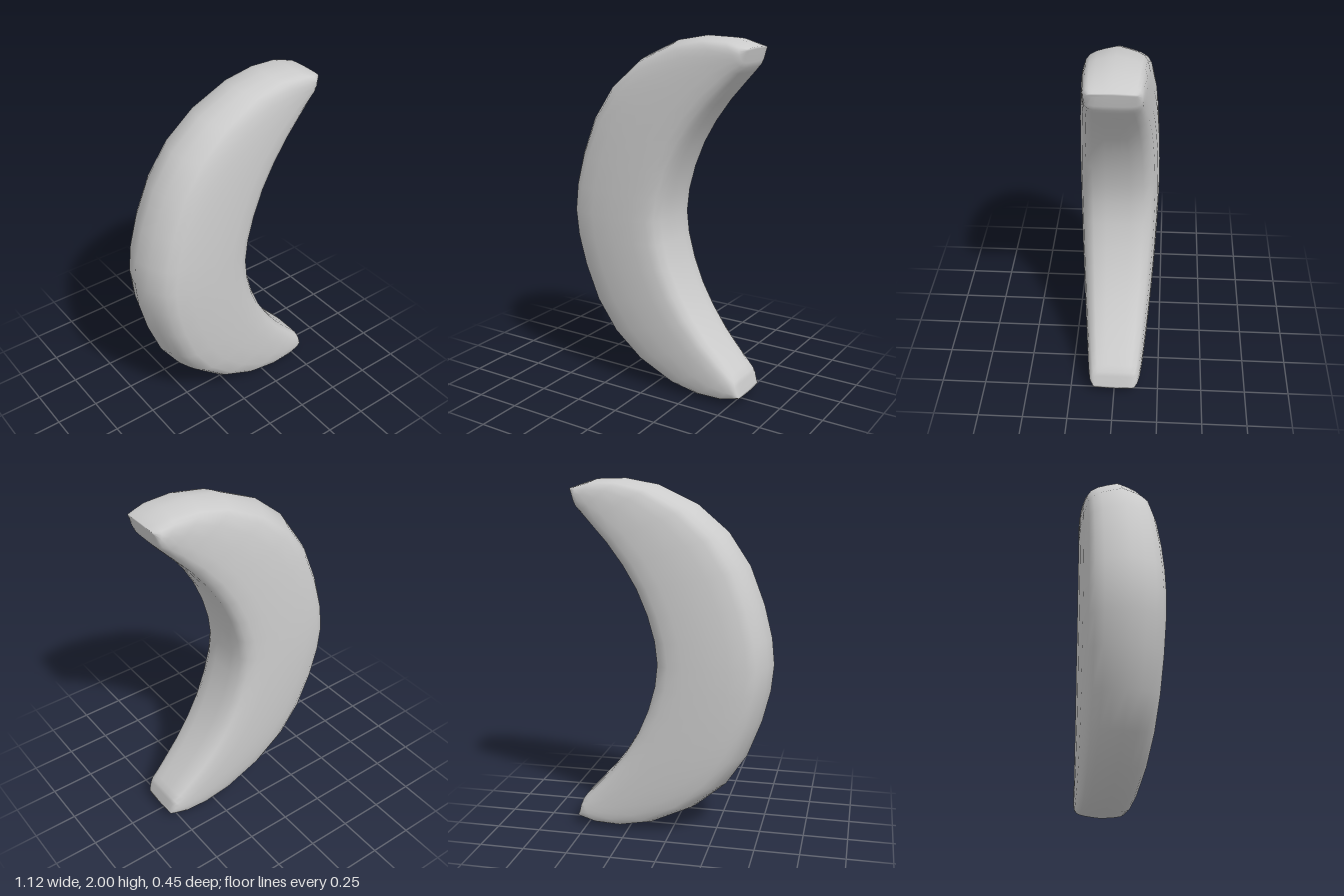
import * as THREE from 'three';

// Half of the crescent, middle to upper tip: outer x, y, inner x, y, half thickness
const STATIONS = [
  [-0.56, 1.0, 0.075, 1.0, 0.225],
  [-0.545, 1.15, 0.09, 1.13, 0.223],
  [-0.5, 1.33, 0.13, 1.27, 0.218],
  [-0.42, 1.54, 0.19, 1.41, 0.209],
  [-0.3, 1.72, 0.265, 1.535, 0.198],
  [-0.13, 1.865, 0.355, 1.655, 0.184],
  [0.09, 1.968, 0.45, 1.76, 0.168],
  [0.27, 2.0, 0.505, 1.82, 0.157],
  [0.43, 1.995, 0.53, 1.85, 0.147],
  [0.51, 1.97, 0.538, 1.875, 0.138],
  [0.555, 1.952, 0.55, 1.93, 0.118],
];

// Section from the outer edge to the inner edge: position across, share of half thickness
const SECTION = [
  [0, 0], [0.04, 0.36], [0.075, 0.6], [0.126, 0.8], [0.2, 0.91], [0.35, 0.985],
  [0.55, 1], [0.75, 0.97], [0.88, 0.9], [0.95, 0.8], [0.99, 0.62], [1, 0.3], [1, 0],
];

function crescentGeometry() {
  const upper = STATIONS;
  const lower = STATIONS.slice(1).reverse().map(([ox, oy, ix, iy, w]) =>
    [ox, 1 - (oy - 1) * 0.995, ix, 1 - (iy - 1) * 0.995, w]);
  const stations = [...lower, ...upper];
  const back = SECTION.slice(1, -1).reverse().map(([u, t]) => [u, -t]);
  const ring = [...SECTION, ...back];
  const n = ring.length, rows = stations.length;
  const positions = [], index = [];

  for (const [ox, oy, ix, iy, w] of stations) {
    for (const [u, t] of ring) {
      positions.push(ox + (ix - ox) * u, oy + (iy - oy) * u, w * t);
    }
  }
  for (let i = 0; i < rows - 1; i++) {
    for (let j = 0; j < n; j++) {
      const k = (j + 1) % n;
      const a = i * n + j, b = i * n + k, c = b + n, d = a + n;
      index.push(a, b, c, a, c, d);
    }
  }
  // Close both tips with a fan
  for (const row of [0, rows - 1]) {
    const [ox, oy, ix, iy] = stations[row];
    const centre = positions.length / 3;
    positions.push((ox + ix) / 2, (oy + iy) / 2, 0);
    for (let j = 0; j < n; j++) {
      const a = row * n + j, b = row * n + (j + 1) % n;
      if (row === 0) index.push(centre, b, a);
      else index.push(centre, a, b);
    }
  }

  const geometry = new THREE.BufferGeometry();
  geometry.setAttribute('position', new THREE.Float32BufferAttribute(positions, 3));
  geometry.setIndex(index);
  geometry.computeVertexNormals();
  return geometry;
}

export function createModel() {
  const group = new THREE.Group();
  group.name = 'crescent';
  const body = new THREE.Mesh(
    crescentGeometry(),
    new THREE.MeshStandardMaterial({ color: 0xcccccc }),
  );
  body.name = 'crescentBody';
  group.add(body);
  return group;
}
